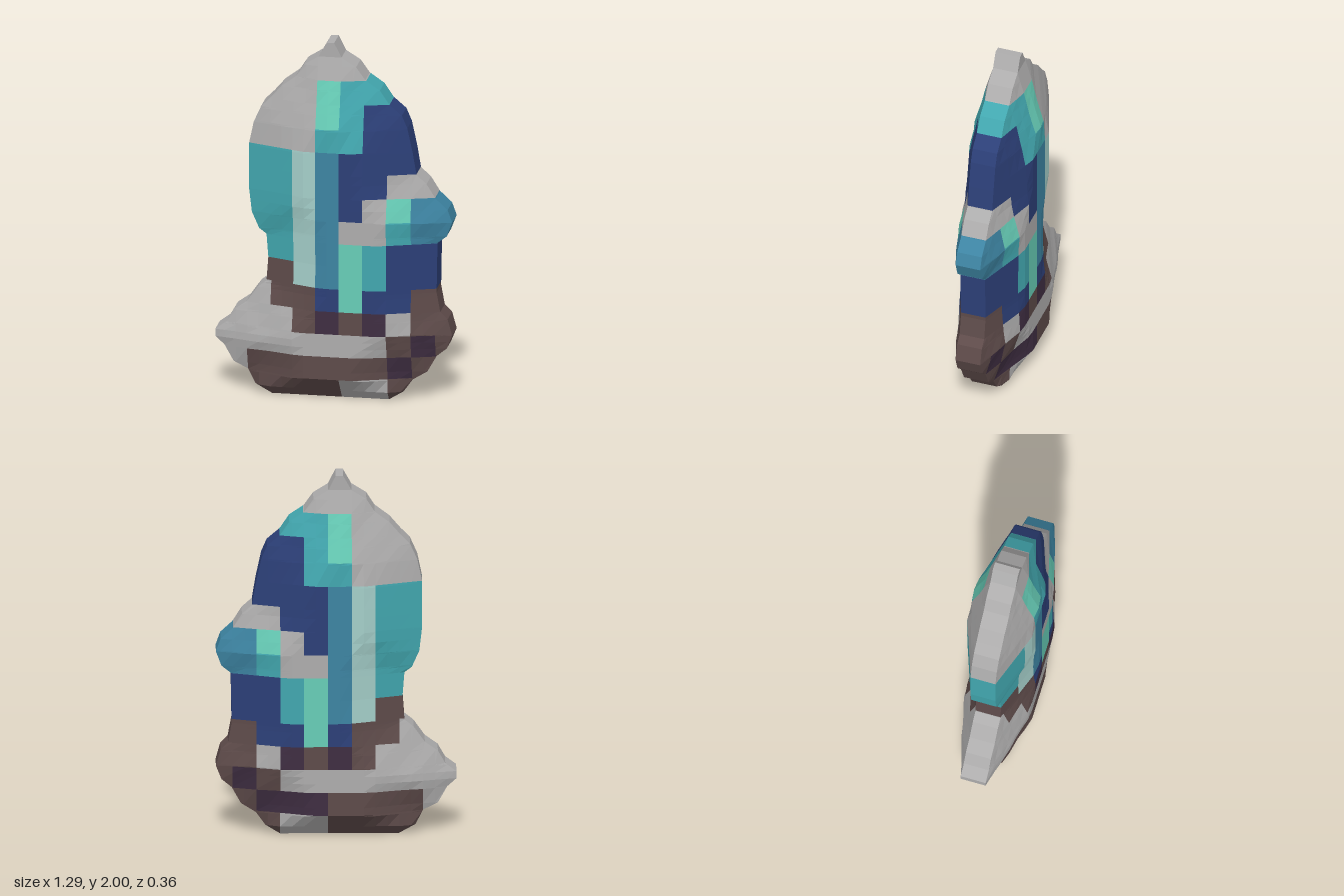
import * as THREE from 'three';

const mat = (name, color) => new THREE.MeshStandardMaterial({ name, color, flatShading: true });

// Colour map: one letter per square cell, top row first
const CELL = 0.1283, X0 = -0.727;
const MAP = [
  'ggggggggggg',
  'ggggggggggg',
  'gggggmttttt',
  'gggggmtnnnn',
  'gggggttnnnn',
  'ttttpsnnnnn',
  'ttttpsnnggg',
  'ttttpsngmss',
  'ttttpsggtss',
  'ttttpsmtnnn',
  'bbbbpsmtnnn',
  'gggbbnmnnbb',
  'ggggbdbdgbb',
  'ggggggggbdb',
  'ggbbbbbbdbb',
  'bbbbbbggbbb',
];
// The back differs only in one longer dark stripe near the base
const BACK_MAP = MAP.map((row, i) => (i === 14 ? 'ggbbbbdddbb' : row));

// Outline as [y, x], from base to tip
const LEFT = [[0, -0.34], [0.05, -0.43], [0.13, -0.47], [0.17, -0.55], [0.26, -0.6], [0.305, -0.65],
  [0.345, -0.65], [0.39, -0.59], [0.46, -0.55], [0.51, -0.48], [0.595, -0.42], [0.635, -0.37],
  [0.77, -0.36], [0.9, -0.37], [0.93, -0.41], [1.02, -0.45], [1.15, -0.465], [1.41, -0.465],
  [1.53, -0.44], [1.62, -0.4], [1.67, -0.35], [1.74, -0.29], [1.8, -0.21], [1.87, -0.165],
  [1.92, -0.085], [2, -0.04]];
const RIGHT = [[0, 0.3], [0.05, 0.38], [0.12, 0.43], [0.17, 0.51], [0.26, 0.56], [0.305, 0.615],
  [0.38, 0.645], [0.47, 0.62], [0.51, 0.58], [0.62, 0.56], [0.9, 0.565], [0.94, 0.615],
  [1.02, 0.645], [1.09, 0.62], [1.15, 0.555], [1.23, 0.505], [1.28, 0.45], [1.4, 0.43],
  [1.54, 0.4], [1.61, 0.37], [1.67, 0.3], [1.745, 0.25], [1.8, 0.17], [1.87, 0.12],
  [1.92, 0.04], [2, 0]];

const RIM = 0.07, BULGE = 0.112;

function edgeAt(points, y) {
  for (let i = 1; i < points.length; i++) {
    const [y0, x0] = points[i - 1], [y1, x1] = points[i];
    if (y <= y1) return x0 + (x1 - x0) * (y - y0) / (y1 - y0);
  }
  return points[points.length - 1][1];
}

// Shortest distance to the outline above the base chamfer
function edgeDistance(x, y) {
  let best = Infinity;
  for (const points of [LEFT, RIGHT]) {
    for (let i = 3; i < points.length; i++) {
      const [y0, x0] = points[i - 1], dy = points[i][0] - y0, dx = points[i][1] - x0;
      const t = THREE.MathUtils.clamp(((x - x0) * dx + (y - y0) * dy) / (dx * dx + dy * dy), 0, 1);
      best = Math.min(best, Math.hypot(x - x0 - t * dx, y - y0 - t * dy));
    }
  }
  return best;
}

// Half thickness: rises with distance from the outline to a flat middle
function depthAt(x, y, l, r) {
  const t = Math.min(1, y / 0.128, (1.92 - y) / 0.38,
    (x - l) / 0.12, (r - x) / 0.12, edgeDistance(x, y) / 0.31);
  return RIM + BULGE * Math.max(0, t);
}

function colourAt(map, x, y) {
  const row = THREE.MathUtils.clamp(15 - Math.floor(y / CELL), 0, 15);
  const col = THREE.MathUtils.clamp(Math.floor((x - X0) / CELL), 0, 10);
  return map[row][col];
}

// Collects quads by colour and turns them into named meshes
class Patches {
  constructor() { this.lists = {}; }
  quad(key, a, b, c, d) {
    const list = (this.lists[key] ??= []);
    for (const tri of [[a, b, c], [a, c, d]]) {
      const [p, q, r] = tri.map((v) => new THREE.Vector3(...v));
      if (q.sub(p).cross(r.sub(p)).length() > 1e-7) list.push(...tri.flat());
    }
  }
  build(name, materials) {
    const group = new THREE.Group();
    group.name = name;
    for (const [key, list] of Object.entries(this.lists)) {
      if (!list.length) continue;
      const geometry = new THREE.BufferGeometry();
      geometry.setAttribute('position', new THREE.Float32BufferAttribute(list, 3));
      geometry.computeVertexNormals();
      const mesh = new THREE.Mesh(geometry, materials[key]);
      mesh.name = `${name} ${materials[key].name} patch`;
      group.add(mesh);
    }
    return group;
  }
}

export function createModel() {
  const materials = {
    g: mat('grey', 0xadacac),
    t: mat('teal', 0x42a7af),
    m: mat('mint', 0x67cdb7),
    p: mat('pale aqua', 0xa4cec9),
    s: mat('steel blue', 0x3d84a2),
    n: mat('navy', 0x2c3f77),
    b: mat('brown', 0x5e4b4a),
    d: mat('dark plum', 0x3f2e42),
  };
  const front = new Patches(), back = new Patches(), rim = new Patches();

  // Row heights: every outline point and every colour line
  const heights = [...LEFT, ...RIGHT].map((p) => p[0]);
  for (let i = 0; i < 16; i++) heights.push(i * CELL);
  const ys = heights.sort((a, b) => a - b).filter((y, i, all) => i === 0 || y - all[i - 1] > 1e-6);

  for (let i = 1; i < ys.length; i++) {
    const y0 = ys[i - 1], y1 = ys[i], mid = (y0 + y1) / 2;
    const l0 = edgeAt(LEFT, y0), r0 = edgeAt(RIGHT, y0);
    const l1 = edgeAt(LEFT, y1), r1 = edgeAt(RIGHT, y1);
    const low = (x, s) => {
      const c = THREE.MathUtils.clamp(x, l0, r0);
      return [c, y0, s * depthAt(c, y0, l0, r0)];
    };
    const high = (x, s) => {
      const c = THREE.MathUtils.clamp(x, l1, r1);
      return [c, y1, s * depthAt(c, y1, l1, r1)];
    };

    // Domed front and back faces, two strips to each colour cell
    for (let c = 0; c < 22; c++) {
      const a = X0 + c * CELL / 2, b = a + CELL / 2, centre = (a + b) / 2;
      front.quad(colourAt(MAP, centre, mid), low(a, 1), low(b, 1), high(b, 1), high(a, 1));
      back.quad(colourAt(BACK_MAP, centre, mid), low(b, -1), low(a, -1), high(a, -1), high(b, -1));
    }

    // Flat band round the outline
    rim.quad(colourAt(MAP, (l0 + l1) / 2, mid),
      [l0, y0, -RIM], [l0, y0, RIM], [l1, y1, RIM], [l1, y1, -RIM]);
    rim.quad(colourAt(MAP, (r0 + r1) / 2, mid),
      [r0, y0, RIM], [r0, y0, -RIM], [r1, y1, -RIM], [r1, y1, RIM]);
  }

  // Base and tip close the band
  rim.quad('b', [-0.34, 0, -RIM], [0.3, 0, -RIM], [0.3, 0, RIM], [-0.34, 0, RIM]);
  rim.quad('g', [-0.04, 2, RIM], [0, 2, RIM], [0, 2, -RIM], [-0.04, 2, -RIM]);

  const model = new THREE.Group();
  model.name = 'carved figure';
  model.add(front.build('frontFace', materials), back.build('backFace', materials), rim.build('rim', materials));
  return model;
}
